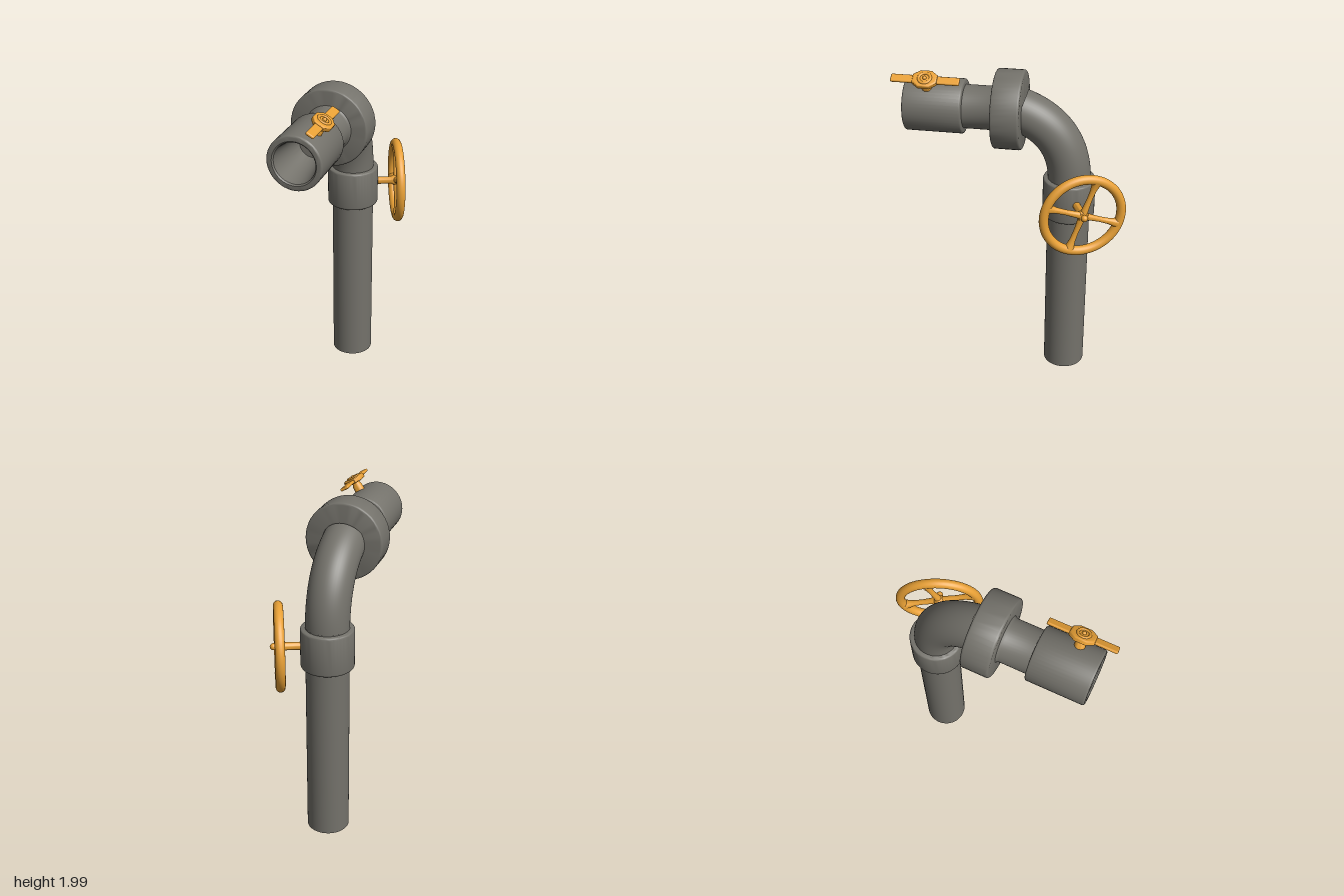
import * as THREE from 'three';
import { toCreasedNormals } from 'three/addons/utils/BufferGeometryUtils.js';
import { RoundedBoxGeometry } from 'three/addons/geometries/RoundedBoxGeometry.js';

const iron = new THREE.MeshStandardMaterial({ color: 0x74726b });
const brass = new THREE.MeshStandardMaterial({ color: 0xe8a035 });

const PIPE_R = 0.128, X = -0.073, Z = -0.337, AXIS_Y = 1.757;

function add(parent, name, geometry, material) {
  const mesh = new THREE.Mesh(geometry, material);
  mesh.name = name;
  parent.add(mesh);
  return mesh;
}

// Solid of revolution around y from [radius, height] pairs, keeping hard edges.
function turned(points, segments = 48) {
  const profile = points.map(([r, h]) => new THREE.Vector2(r, h));
  return toCreasedNormals(new THREE.LatheGeometry(profile, segments), 0.6);
}

// Quarter-round edge points around (r, h), from angle a to a + 90 degrees.
function roundEdge(r, h, e, a) {
  return [0, 1, 2, 3, 4].map((i) => {
    const t = a + (i / 4) * Math.PI / 2;
    return [r + e * Math.cos(t), h + e * Math.sin(t)];
  });
}

// Disc-like collar with softened rims.
function collar(r, from, to, e = 0.014) {
  return turned([
    [0, from],
    ...roundEdge(r - e, from + e, e, -Math.PI / 2),
    ...roundEdge(r - e, to - e, e, 0),
    [0, to],
  ]);
}

function createPipes() {
  const pipes = new THREE.Group();
  pipes.name = 'pipes';

  // Upright pipe and its collar
  const upright = new THREE.Group();
  upright.name = 'uprightPipe';
  upright.position.set(X, 0, Z);
  add(upright, 'standpipe', turned([[0, 0], [PIPE_R, 0], [PIPE_R, 1.35], [0, 1.35]]), iron);
  add(upright, 'valveCollar', collar(0.157, 1.1, 1.345), iron);

  // Elbow sweeping from the upright to the spout
  const bend = new THREE.CubicBezierCurve3(
    new THREE.Vector3(X, 1.32, Z),
    new THREE.Vector3(X, 1.58, Z),
    new THREE.Vector3(X, 1.70, -0.2),
    new THREE.Vector3(X, AXIS_Y, -0.04),
  );
  add(pipes, 'elbow', new THREE.TubeGeometry(bend, 32, PIPE_R, 48), iron);

  // Horizontal spout: flange, neck and hollow nozzle
  const spout = new THREE.Group();
  spout.name = 'spout';
  spout.position.set(X, AXIS_Y, 0);
  spout.rotation.x = Math.PI / 2;
  add(spout, 'flange', collar(0.233, -0.063, 0.104), iron);
  add(spout, 'neck', turned([
    [0.142, 0.1], [0.134, 0.107], [PIPE_R, 0.12], [PIPE_R, 0.27], [PIPE_R, 0.3],
  ]), iron);
  const e = 0.012;
  add(spout, 'nozzle', turned([
    [0, 0.284],
    ...roundEdge(0.16 - e, 0.284 + e, e, -Math.PI / 2),
    ...roundEdge(0.16 - e, 0.63 - e, e, 0),
    [0.128, 0.63], [0.12, 0.622], [0.103, 0.5], [0.094, 0.43], [0.078, 0.35], [0, 0.35],
  ]), iron);

  pipes.add(upright, spout);
  return pipes;
}

// Round hand wheel with four flared spokes; local z is its shaft.
function createWheel() {
  const wheel = new THREE.Group();
  wheel.name = 'handWheel';
  wheel.position.set(X, 1.233, Z);
  wheel.rotation.y = THREE.MathUtils.degToRad(113.5);

  const shaft = turned([[0, 0.1], [0.023, 0.1], [0.023, 0.24], [0.034, 0.262], [0.034, 0.285], [0.026, 0.297], [0, 0.3]], 24);
  add(wheel, 'wheelShaft', shaft, brass).rotation.x = Math.PI / 2;
  add(wheel, 'wheelNut', new THREE.SphereGeometry(0.02, 20, 14), brass).position.z = 0.31;

  const rim = new THREE.Group();
  rim.name = 'wheelRim';
  rim.position.z = 0.276;
  rim.rotation.z = THREE.MathUtils.degToRad(-20);
  add(rim, 'rim', new THREE.TorusGeometry(0.235, 0.028, 20, 64), brass);
  const spoke = turned([[0.024, 0], [0.019, 0.05], [0.016, 0.11], [0.018, 0.17], [0.025, 0.205], [0.03, 0.225]], 20);
  for (let i = 0; i < 4; i++) {
    add(rim, 'spoke', spoke, brass).rotation.z = i * Math.PI / 2;
  }
  wheel.add(rim);
  return wheel;
}

// Two-winged tap lever on the nozzle; local y points away from the spout axis.
function createLever() {
  const lever = new THREE.Group();
  lever.name = 'tapLever';
  lever.position.set(X, AXIS_Y, 0.49);
  lever.rotation.z = THREE.MathUtils.degToRad(-30);

  const stem = turned([[0, 0.13], [0.03, 0.13], [0.03, 0.19], [0.024, 0.2], [0.024, 0.225], [0, 0.225]], 24);
  add(lever, 'stem', stem, brass);

  // Eight-sided hub plate with rounded borders
  const outline = new THREE.Shape([
    [0.046, -0.028], [0.046, 0.028], [0.022, 0.06], [-0.022, 0.06],
    [-0.046, 0.028], [-0.046, -0.028], [-0.022, -0.06], [0.022, -0.06],
  ].map(([x, y]) => new THREE.Vector2(x, y)));
  const plate = new THREE.ExtrudeGeometry(outline, {
    depth: 0.012, bevelThickness: 0.01, bevelSize: 0.012, bevelSegments: 4,
  });
  plate.translate(0, 0, -0.006).rotateX(-Math.PI / 2);
  add(lever, 'hub', toCreasedNormals(plate, 0.85), brass).position.y = 0.23;

  const ring = add(lever, 'hubRing', new THREE.TorusGeometry(0.034, 0.009, 12, 32), brass);
  ring.position.y = 0.244;
  ring.rotation.x = Math.PI / 2;
  add(lever, 'bolt', new THREE.SphereGeometry(0.012, 16, 12), brass).position.y = 0.247;

  for (const side of [-1, 1]) {
    const wing = add(lever, 'wing', new RoundedBoxGeometry(0.052, 0.018, 0.155, 3, 0.008), brass);
    wing.position.set(0, 0.229, side * 0.122);
  }
  return lever;
}

export function createModel() {
  const model = new THREE.Group();
  model.name = 'valvePipe';
  model.add(createPipes(), createWheel(), createLever());
  return model;
}
